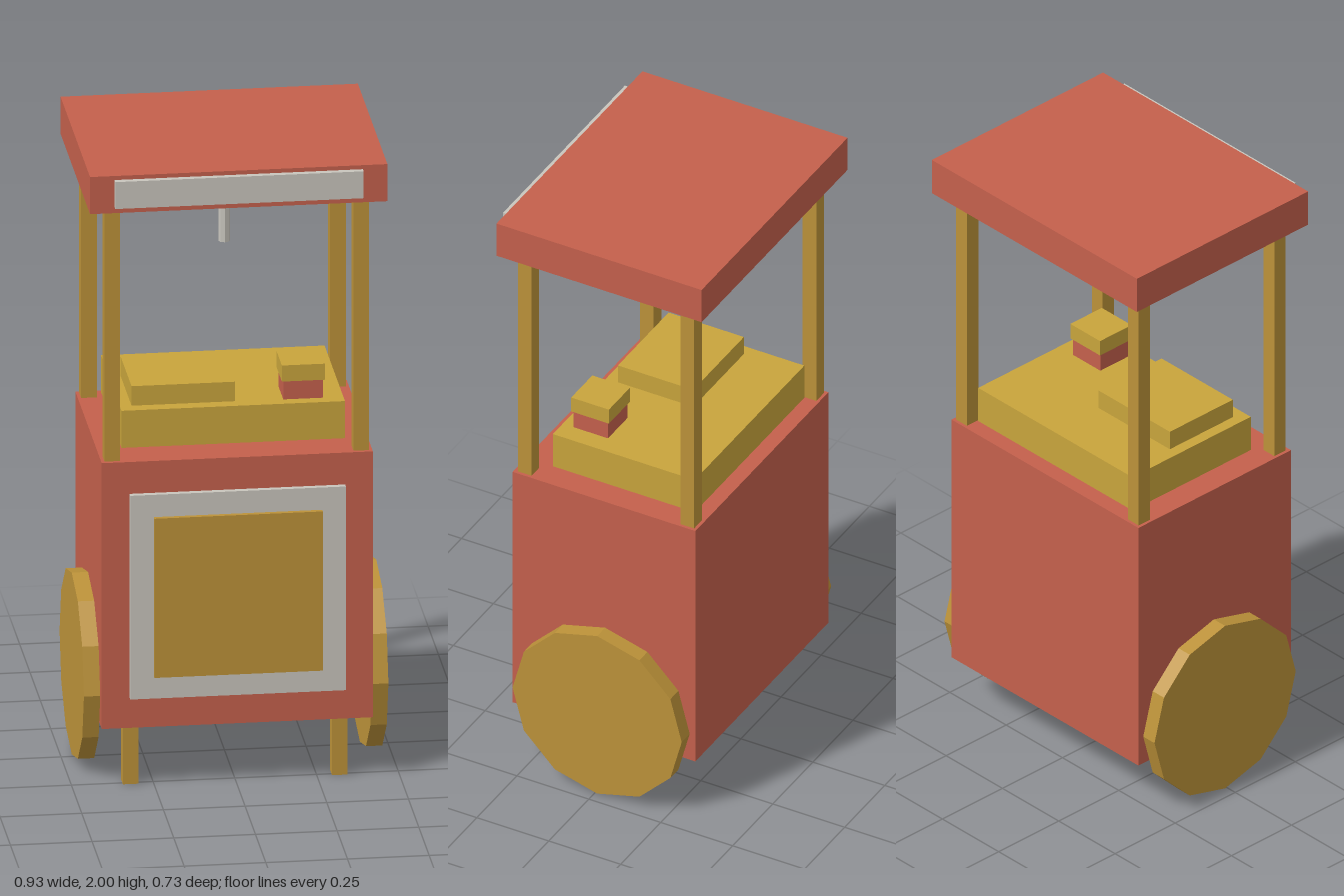
import * as THREE from 'three';

const material = (name, color) => {
  const m = new THREE.MeshStandardMaterial({ color });
  m.name = name;
  return m;
};

export function createModel() {
  const red = material('red paint', 0xc4604c);
  const wood = material('wood', 0xbc9239);
  const yellow = material('yellow', 0xc8a43c);
  const grey = material('light grey', 0xc8c5bd);

  const cart = new THREE.Group();
  cart.name = 'streetCart';

  const add = (name, geometry, mat, x, y, z) => {
    const mesh = new THREE.Mesh(geometry, mat);
    mesh.name = name;
    mesh.position.set(x, y, z);
    cart.add(mesh);
    return mesh;
  };

  // Box given by its extents on each axis
  const box = (name, mat, [x0, x1], [y0, y1], [z0, z1]) =>
    add(name, new THREE.BoxGeometry(x1 - x0, y1 - y0, z1 - z0), mat,
      (x0 + x1) / 2, (y0 + y1) / 2, (z0 + z1) / 2);

  // Body with framed front panel
  box('body', red, [-0.415, 0.415], [0.2, 1.06], [-0.323, 0.312]);
  box('panelFrame', grey, [-0.33, 0.33], [0.298, 0.957], [0.312, 0.33]);
  box('panel', wood, [-0.258, 0.258], [0.37, 0.885], [0.33, 0.345]);

  // Roof and blank sign board
  box('roof', red, [-0.455, 0.455], [1.88, 2], [-0.367, 0.346]);
  box('signBoard', grey, [-0.38, 0.38], [1.9, 1.987], [0.346, 0.365]);

  // Serving tray and goods
  box('tray', yellow, [-0.342, 0.342], [1.07, 1.19], [-0.28, 0.213]);
  box('slab', yellow, [-0.306, 0.01], [1.19, 1.253], [-0.09, 0.172]);
  box('canister', red, [0.158, 0.28], [1.19, 1.25], [0.056, 0.175]);
  box('canisterLid', yellow, [0.153, 0.285], [1.25, 1.302], [0.05, 0.181]);

  // Hanging lamp under the roof
  const lamp = new THREE.CylinderGeometry(0.018, 0.018, 0.222, 8).toNonIndexed();
  lamp.computeVertexNormals();
  add('lamp', lamp, grey, 0, 1.757, -0.006);

  // Twelve-sided wheel with hard facets, axle along x
  const wheel = new THREE.CylinderGeometry(0.294, 0.294, 0.05, 12)
    .rotateZ(Math.PI / 2).toNonIndexed();
  wheel.computeVertexNormals();

  for (const [side, s] of [['left', 1], ['right', -1]]) {
    const span = (a, b) => (s > 0 ? [a, b] : [-b, -a]);
    box(side + 'FrontPost', wood, span(0.357, 0.405), [1.06, 1.88], [0.252, 0.299]);
    box(side + 'BackPost', wood, span(0.357, 0.405), [1.06, 1.88], [-0.313, -0.265]);
    box(side + 'Leg', wood, span(0.296, 0.344), [0, 0.2], [0.216, 0.263]);
    add(side + 'Wheel', wheel, wood, s * 0.441, 0.297, -0.01);
  }

  return cart;
}
